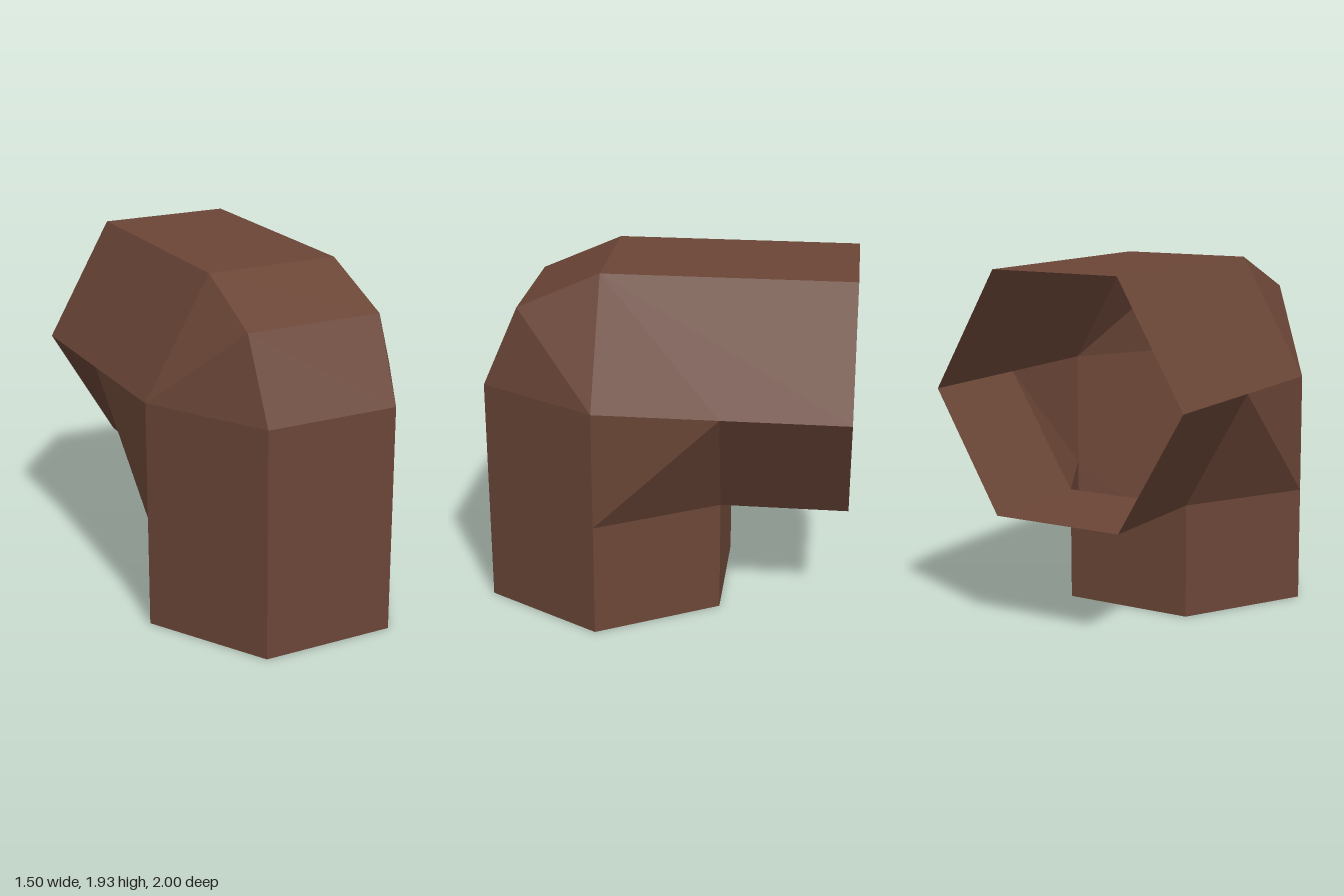
import * as THREE from 'three';

// Edge lines of the elbow on the +x side, running from the lower mouth to the rear mouth
const outer = [[0.375, 0, 1], [0.375, 1.28, 1], [0.385, 1.73, 0.8], [0.375, 1.93, 0.35], [0.375, 1.93, -1]];
const side = [[0.75, 0, 0.35], [0.75, 0.63, 0.35], [0.75, 1.28, 0.35], [0.75, 1.28, -0.32], [0.75, 1.28, -1]];
const inner = [[0.375, 0, -0.3], [0.375, 0.63, -0.3], [0.375, 0.63, -1]];

const mirror = ([x, y, z]) => [-x, y, z];

// Flat-sided shell from convex polygons, each split into a fan
function shell(name, polygons, material) {
  const positions = [];
  for (const p of polygons) {
    for (let i = 1; i < p.length - 1; i++) positions.push(...p[0], ...p[i], ...p[i + 1]);
  }
  const geometry = new THREE.BufferGeometry();
  geometry.setAttribute('position', new THREE.Float32BufferAttribute(positions, 3));
  geometry.computeVertexNormals();
  const mesh = new THREE.Mesh(geometry, material);
  mesh.name = name;
  return mesh;
}

// Quads bridging an edge line to its mirror image
const strip = (line) => line.slice(1).map((b, i) => [line[i], b, mirror(b), mirror(line[i])]);

export function createModel() {
  const group = new THREE.Group();
  group.name = 'pipeElbow';
  const brown = new THREE.MeshStandardMaterial({ color: 0x6b4637, side: THREE.DoubleSide });
  brown.name = 'brown';

  const [o0, o1, o2, o3, o4] = outer;
  const [s0, s1, s2, s3, s4] = side;
  const [i0, i1, i2] = inner;

  const wall = [
    [o0, s0, s1, s2, o1], // upright pipe, front flank
    [o1, s2, o2], [o2, s2, o3], // outer bend
    [o3, s2, s3, s4, o4], // level pipe, upper flank
    [s1, s3, s2], // flat cheek at the bend
    [s0, i0, i1, s1], // upright pipe, rear flank
    [s1, i1, s3], // inner bend gusset
    [s3, i1, i2, s4], // level pipe, lower flank
  ];

  group.add(
    shell('outerWall', strip(outer), brown),
    shell('innerWall', strip(inner).map((p) => p.reverse()), brown),
    shell('leftWall', wall, brown),
    shell('rightWall', wall.map((p) => p.map(mirror).reverse()), brown),
  );
  return group;
}
